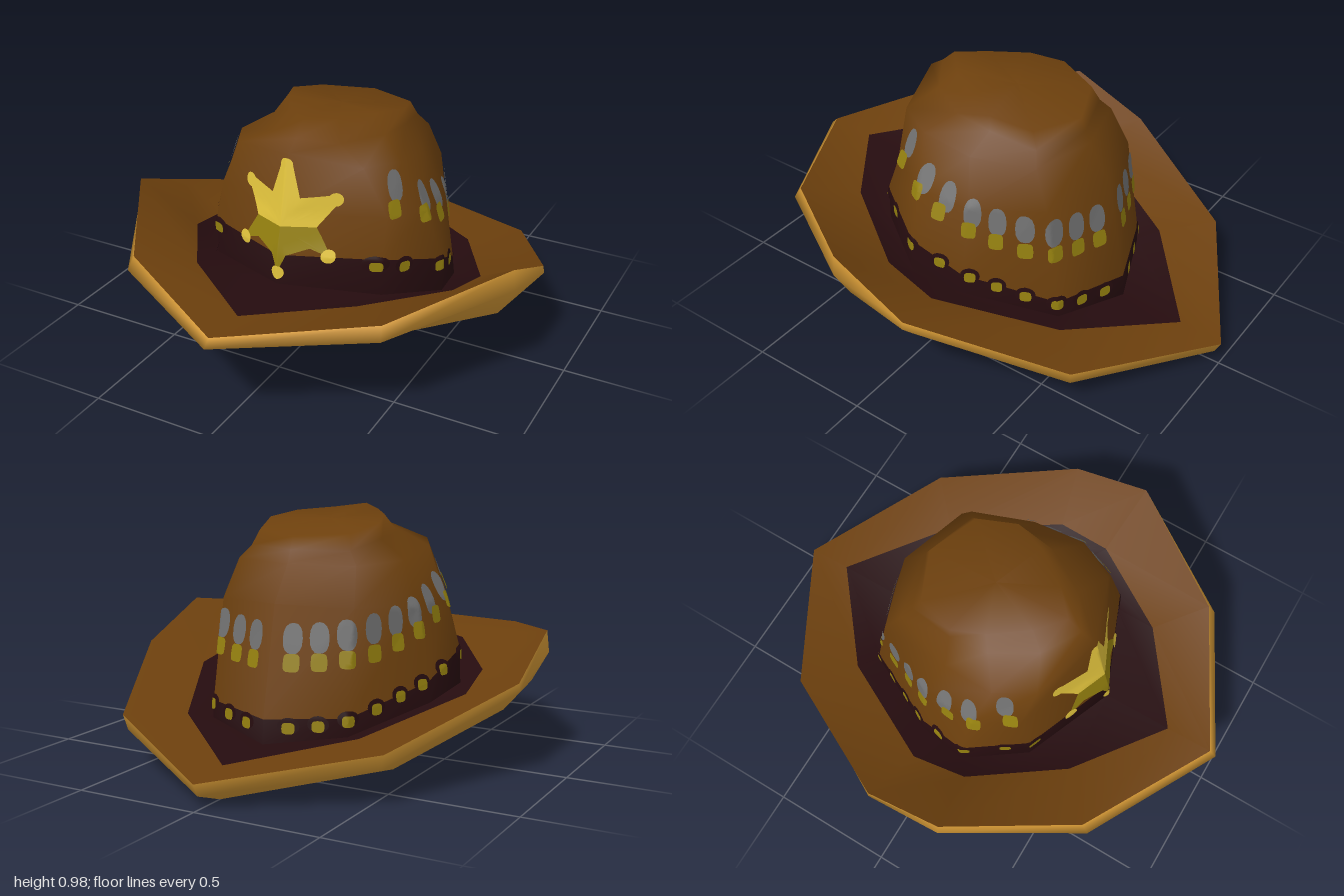
import * as THREE from 'three';

const mat = (name, color) => {
  const m = new THREE.MeshStandardMaterial({ color });
  m.name = name;
  return m;
};

// Ten-sided ring from six points (front to back), mirrored across x = 0.
const ring = (half) => [...half, ...half.slice(1, -1).reverse().map(([x, y, z]) => [-x, y, z])];
const point = (x, y, z) => Array(10).fill([x, y, z]);

// Smooth skin over successive rings, one material per strip.
function loft(name, rings, materials) {
  const n = 10, index = [];
  const geo = new THREE.BufferGeometry();
  for (let r = 0; r < rings.length - 1; r++) {
    geo.addGroup(r * n * 6, n * 6, r);
    for (let i = 0; i < n; i++) {
      const k = (i + 1) % n, a = r * n + i, b = r * n + k;
      index.push(a, b, b + n, a, b + n, a + n);
    }
  }
  geo.setAttribute('position', new THREE.Float32BufferAttribute(rings.flat(2), 3));
  geo.setIndex(index);
  geo.computeVertexNormals();
  const mesh = new THREE.Mesh(geo, materials);
  mesh.name = name;
  return mesh;
}

export function createModel() {
  const hat = new THREE.Group();
  hat.name = 'hat';
  const felt = mat('brown felt', 0x6d400d);
  const tan = mat('tan lining', 0xd89b36);
  const maroon = mat('dark maroon', 0x260c0f);
  const gold = mat('bright gold', 0xe0c23c);
  const brass = mat('dull brass', 0x94800f);
  const steel = mat('grey steel', 0x707070);

  // Brim rings
  const rim = ring([[0, .405, .97], [.53, .45, .68], [.835, .515, .21], [.845, .37, -.12], [.565, .2, -.67], [0, .1, -1]]);
  const edge = ring([[0, .375, 1], [.54, .4, .71], [.845, .43, .21], [.85, .34, -.12], [.55, .14, -.66], [0, .05, -.975]]);
  const under = ring([[0, .32, .9], [.46, .33, .6], [.78, .31, .2], [.78, .26, -.1], [.46, .055, -.38], [0, 0, -.84]]);
  const hole = ring([[0, .31, .55], [.37, .27, .42], [.53, .2, .17], [.48, .16, .01], [.38, .09, -.2], [0, .04, -.42]]);
  const patch = ring([[0, .39, .78], [.35, .39, .52], [.585, .34, .17], [.61, .29, -.06], [.38, .19, -.5], [0, .12, -.82]]);

  // Crown rings, bottom to top
  const base = ring([[0, .38, .5], [.365, .35, .345], [.515, .29, .11], [.48, .25, -.1], [.3, .17, -.44], [0, .13, -.555]]);
  const bandTop = ring([[0, .5, .49], [.365, .5, .345], [.51, .43, .11], [.47, .33, -.1], [.3, .24, -.435], [0, .225, -.548]]);
  const waist = ring([[0, .66, .45], [.36, .65, .29], [.44, .63, .12], [.42, .62, -.1], [.29, .64, -.37], [0, .65, -.46]]);
  const shoulder = ring([[0, .88, .4], [.27, .84, .31], [.35, .825, .16], [.34, .79, -.05], [.26, .79, -.3], [0, .79, -.365]]);
  const pinch = ring([[0, .92, .34], [.14, .89, .25], [.245, .885, .08], [.255, .87, -.08], [.22, .84, -.27], [0, .84, -.345]]);
  const crest = ring([[0, .975, .28], [.1, .962, .19], [.2, .955, .05], [.25, .935, -.08], [.2, .9, -.24], [0, .89, -.325]]);

  const crown = loft('crown', [base, bandTop, waist, shoulder, pinch, crest, point(0, .935, -.03)],
    [maroon, felt, felt, felt, felt, felt]);
  hat.add(crown);
  hat.add(loft('brimTop', [rim, patch, base], [felt, maroon]));
  hat.add(loft('brimUnderside', [hole, under, edge, rim], [tan, tan, tan]));

  // Hollow inside of the crown
  const inner = waist.map(([x, y, z]) => [x * .9, y - .05, z * .9]);
  hat.add(loft('innerLining', [point(0, .72, 0), inner, hole], [maroon, maroon]));

  // Thin painted plates that hug the crown
  const caster = new THREE.Raycaster();
  const hit = (origin, dir, lift) => {
    caster.set(origin, dir);
    const found = caster.intersectObject(crown)[0];
    const p = found ? found.point : origin.clone().addScaledVector(dir, 1.6);
    return p.addScaledVector(dir, -lift);
  };
  const onFront = (x, y, lift) => hit(new THREE.Vector3(x, y, 2), new THREE.Vector3(0, 0, -1), lift);
  const around = (angle) => (s, y, lift) => {
    const a = angle + s / .45;
    const dir = new THREE.Vector3(-Math.sin(a), 0, -Math.cos(a));
    return hit(new THREE.Vector3(0, y, 0).addScaledVector(dir, -2), dir, lift);
  };
  // Fan of fine cells from a centre to a counter-clockwise outline.
  function plate(name, outline, [cx, cy], project, material, lift) {
    const rows = 5, pos = [], index = [];
    outline.forEach(([x, y], i) => {
      for (let j = 0; j <= rows; j++) {
        const t = j / rows;
        pos.push(...project(cx + (x - cx) * t, cy + (y - cy) * t, lift).toArray());
        if (j < rows && i < outline.length - 1) {
          const a = i * (rows + 1) + j, b = a + rows + 1;
          index.push(a, a + 1, b + 1, a, b + 1, b);
        }
      }
    });
    const geo = new THREE.BufferGeometry();
    geo.setAttribute('position', new THREE.Float32BufferAttribute(pos, 3));
    geo.setIndex(index);
    geo.computeVertexNormals();
    const mesh = new THREE.Mesh(geo, material);
    mesh.name = name;
    hat.add(mesh);
  }
  // Oval outline; a power below 1 makes it squarer.
  const oval = (cx, cy, rx, ry, power = 1) => Array.from({ length: 17 }, (_, i) => {
    const a = i / 16 * Math.PI * 2;
    const soft = (v) => Math.sign(v) * Math.abs(v) ** power;
    return [cx + rx * soft(Math.cos(a)), cy + ry * soft(Math.sin(a))];
  });
  const subdivide = (pts, n = 4) => pts.flatMap(([x, y], i) => {
    if (i === pts.length - 1) return [[x, y]];
    const [u, v] = pts[i + 1];
    return Array.from({ length: n }, (_, k) => [x + (u - x) * k / n, y + (v - y) * k / n]);
  });

  // Six-pointed badge: bright upper half, dull lower half, ball tips
  const upper = [[.125, .61], [.2, .715], [.17, .735], [.06, .72], [.022, .85],
    [-.022, .85], [-.06, .72], [-.17, .735], [-.2, .715], [-.125, .61]];
  const lower = [[-.125, .61], [-.19, .5], [-.11, .53], [-.03, .5], [0, .43],
    [.03, .5], [.11, .53], [.19, .5], [.125, .61]];
  plate('badgeUpper', subdivide(upper), [0, .61], onFront, gold, .005);
  plate('badgeLower', subdivide(lower), [0, .61], onFront, brass, .005);
  for (const [x, y] of [[0, .84], [.185, .72], [-.185, .72], [.18, .505], [-.18, .505], [0, .43]]) {
    plate('badgeTip', oval(x, y, .027, .027), [x, y], onFront, gold, .008);
  }

  // Cartridges: [x, z, tip height, case height, forward lean of the case]
  const rounds = [[.36, .225, .755, .675, .02], [.44, .105, .675, .622, .025], [.46, -.01, .638, .577, .025],
    [.42, -.12, .602, .532, .012], [.385, -.21, .578, .497, .005], [.34, -.305, .56, .467, 0],
    [.27, -.39, .545, .455, 0], [.185, -.45, .532, .442, 0], [.085, -.48, .526, .437, 0]];
  for (const side of [1, -1]) {
    for (const [x, z, tip, shell, lean] of rounds) {
      const wrap = around(Math.atan2(x * side, z));
      const stud = .18 + (z + .545) * .36, s = -side * lean;
      plate('cartridgeTip', oval(0, tip, .036, .058, .85), [0, tip], wrap, steel, .006);
      plate('cartridgeCase', oval(s, shell, .029, .034, .5), [s, shell], wrap, brass, .008);
      plate('bandTab', oval(0, stud, .036, .032), [0, stud], wrap, maroon, .004);
      plate('bandStud', oval(0, stud - .008, .021, .022, .6), [0, stud - .008], wrap, brass, .007);
    }
    const front = around(Math.atan2(.35 * side, .36));
    plate('bandTab', oval(0, .48, .05, .034), [0, .48], front, maroon, .004);
    plate('bandStud', oval(0, .472, .023, .02, .6), [0, .472], front, brass, .007);
  }
  return hat;
}
